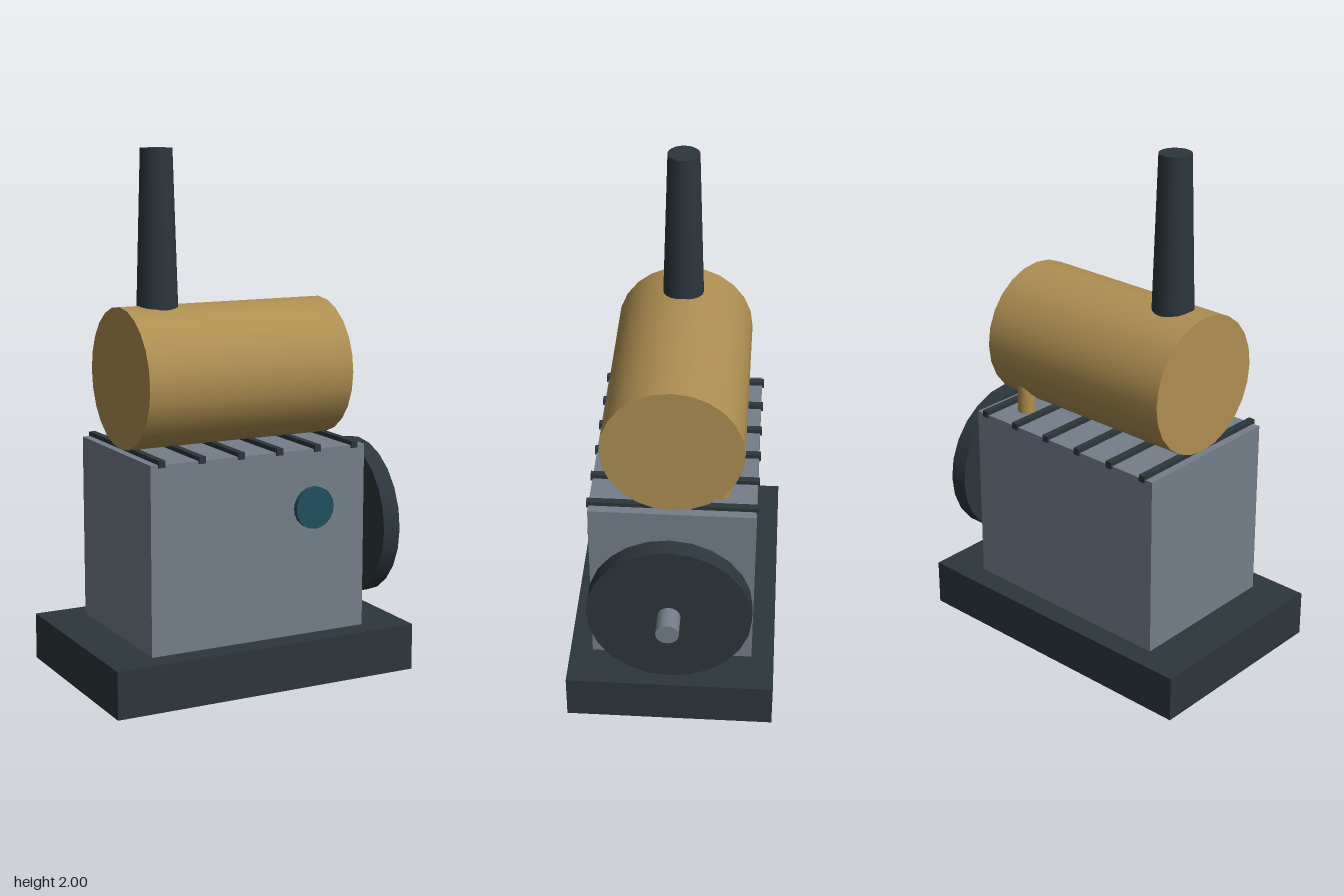
import * as THREE from 'three';

const mat = (name, color) => Object.assign(new THREE.MeshStandardMaterial({ color }), { name });

export function createModel() {
  const dark = mat('darkIron', 0x2c363c);
  const grey = mat('steelGrey', 0x747e8a);
  const brass = mat('brass', 0xae8f52);
  const teal = mat('tealGlass', 0x20505f);

  const group = new THREE.Group();
  group.name = 'stationaryEngine';

  const add = (name, geometry, material, x, y, z) => {
    const mesh = new THREE.Mesh(geometry, material);
    mesh.name = name;
    mesh.position.set(x, y, z);
    group.add(mesh);
    return mesh;
  };
  const box = (name, m, w, h, d, x, y, z) => add(name, new THREE.BoxGeometry(w, h, d), m, x, y, z);
  // Cylinder lying along x between two ends
  const along = (name, m, r, x0, x1, y, sides) =>
    add(name, new THREE.CylinderGeometry(r, r, x1 - x0, sides).rotateZ(-Math.PI / 2), m, (x0 + x1) / 2, y, 0);

  // Plinth and engine block
  box('base', dark, 1.24, 0.18, 0.8, -0.045, 0.09, 0);
  box('engineBlock', grey, 0.89, 0.71, 0.625, -0.045, 0.535, 0);

  // Cooling ribs across the top of the block
  for (let i = 0; i < 6; i++) {
    box('rib', dark, 0.026, 0.026, 0.64, -0.447 + i * 0.16, 0.893, 0);
  }

  // Tank with its feed pipe and the tapered stack
  along('tank', brass, 0.266, -0.467, 0.377, 1.158, 24);
  add('feedPipe', new THREE.CylinderGeometry(0.035, 0.035, 0.2, 16), brass, 0.265, 0.985, -0.18);
  add('stack', new THREE.CylinderGeometry(0.06, 0.079, 0.62, 20), dark, -0.313, 1.69, 0);

  // Drive shaft and flywheel
  along('driveShaft', grey, 0.044, 0.36, 0.665, 0.536, 16);
  along('flywheel', dark, 0.311, 0.497, 0.568, 0.538, 24);

  // Round gauge on the front
  add('gauge', new THREE.CylinderGeometry(0.08, 0.08, 0.04, 20).rotateX(Math.PI / 2), teal, 0.177, 0.669, 0.313);

  return group;
}
